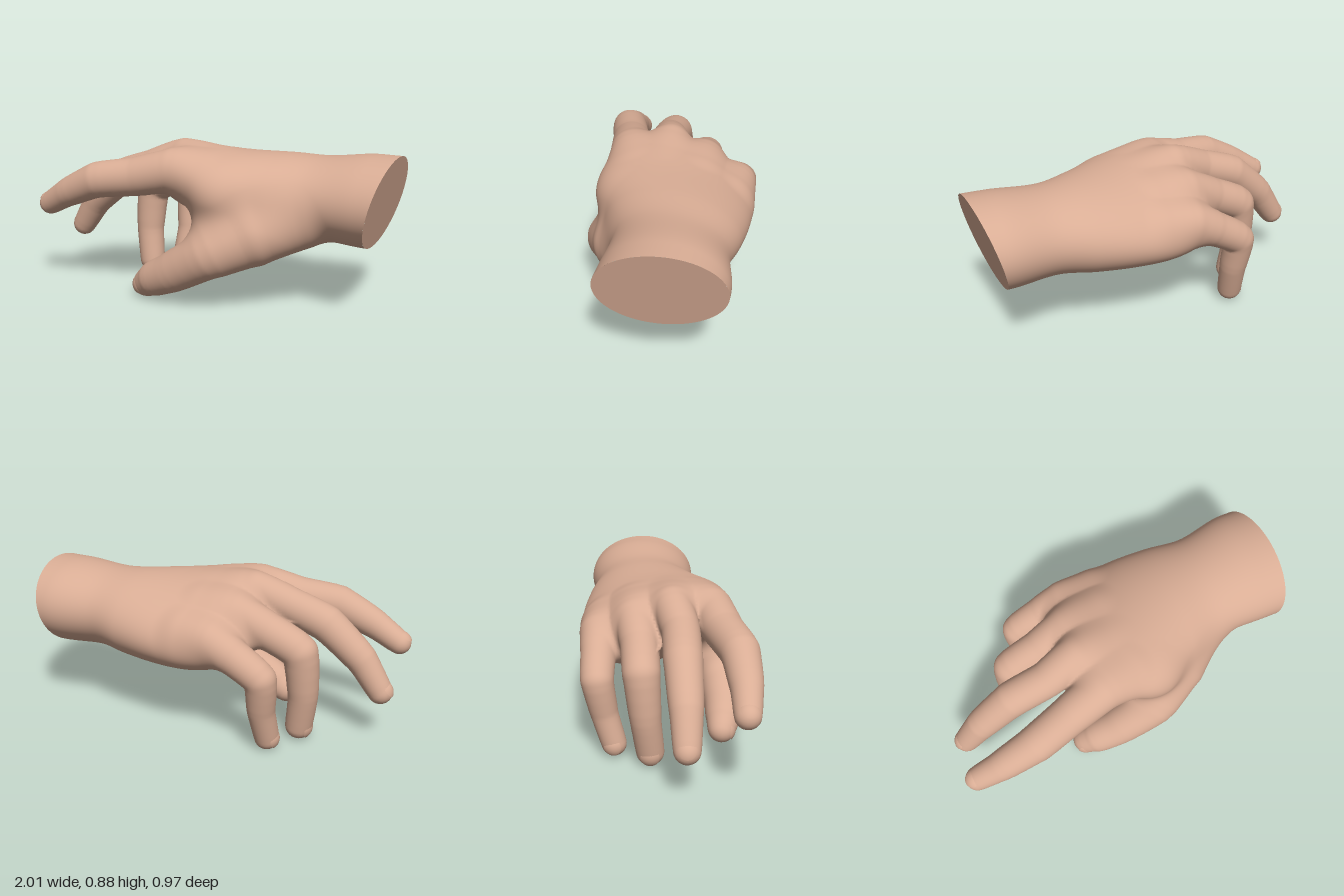
import * as THREE from 'three';

const V = (x, y, z) => new THREE.Vector3(x, y, z);
const CELL = 0.015;

// Digits as chains of tapering joints: [x, y, z, radius]
const DIGITS = {
  indexFinger: [[0.02, 0.69, 0.19, 0.13], [-0.15, 0.73, 0.257, 0.121], [-0.35, 0.688, 0.314, 0.109],
    [-0.57, 0.657, 0.383, 0.102], [-0.78, 0.565, 0.403, 0.083], [-0.931, 0.482, 0.4, 0.066]],
  middleFinger: [[0.05, 0.71, 0.02, 0.1], [-0.205, 0.769, 0.045, 0.112], [-0.4, 0.705, 0.09, 0.1],
    [-0.61, 0.634, 0.1, 0.1], [-0.81, 0.465, 0.115, 0.086], [-0.929, 0.295, 0.12, 0.068]],
  ringFinger: [[0, 0.67, -0.16, 0.13], [-0.19, 0.69, -0.15, 0.12], [-0.37, 0.62, -0.125, 0.102],
    [-0.55, 0.53, -0.11, 0.098], [-0.57, 0.28, -0.09, 0.082], [-0.543, 0.08, -0.068, 0.075]],
  littleFinger: [[0.02, 0.59, -0.33, 0.13], [-0.14, 0.595, -0.345, 0.118], [-0.28, 0.535, -0.35, 0.097],
    [-0.435, 0.44, -0.347, 0.088], [-0.43, 0.25, -0.315, 0.075], [-0.443, 0.073, -0.265, 0.068]],
  thumb: [[0.52, 0.49, 0.05, 0.15], [0.33, 0.425, 0.18, 0.175], [0.14, 0.315, 0.32, 0.132],
    [-0.09, 0.182, 0.34, 0.113], [-0.21, 0.125, 0.335, 0.1], [-0.285, 0.08, 0.322, 0.076]],
};
const THUMB_WEB = [[0.14, 0.6, 0.2, 0.15], [0.11, 0.42, 0.22, 0.12]];

// Back-of-hand directions for the nails
const NAILS = {
  indexFinger: V(-0.46, 0.89, 0.1), middleFinger: V(-0.84, 0.55, 0), ringFinger: V(-1, -0.1, 0),
  littleFinger: V(-1, 0, -0.1), thumb: V(0, 0.15, 1),
};

// Palm and wrist sections: x, centre z, centre y, half width, half height, slope toward the thumb side
const PALM = [
  [-0.33, -0.05, 0.62, 0.16, 0.07, 0.25], [-0.26, -0.05, 0.63, 0.29, 0.145, 0.25],
  [-0.15, -0.055, 0.635, 0.37, 0.2, 0.25], [0, -0.055, 0.62, 0.415, 0.222, 0.2],
  [0.2, -0.06, 0.6, 0.42, 0.238, 0.1], [0.4, -0.105, 0.6, 0.36, 0.235, 0.05],
  [0.6, -0.13, 0.605, 0.305, 0.225, 0], [0.88, -0.155, 0.612, 0.325, 0.245, -0.02],
  [1.12, -0.155, 0.612, 0.325, 0.245, -0.02],
];
const WRIST = PALM[PALM.length - 1];
const wristX = (y, z) => 0.88 + 0.245 * (y - 0.37) + 0.09 * (z + 0.155);

// Ease the bends of a chain with short tapering links
function smoothChain(joints, links) {
  const curve = new THREE.CatmullRomCurve3(joints.map((j) => V(j[0], j[1], j[2])), false, 'catmullrom', 0.22);
  const spans = joints.length - 1;
  return Array.from({ length: spans * links + 1 }, (_, i) => {
    const s = Math.min(Math.floor(i / links), spans - 1);
    const radius = THREE.MathUtils.lerp(joints[s][3], joints[s + 1][3], i / links - s);
    return [...curve.getPoint(i / (spans * links)).toArray(), radius];
  });
}
const digitNames = Object.keys(DIGITS);
const CHAINS = Object.fromEntries(digitNames.map((name) => [name, smoothChain(DIGITS[name], 4)]));

// Smooth interpolation of the palm sections
function palmSection(x) {
  const n = PALM.length - 1;
  let i = 0;
  while (i < n - 1 && x > PALM[i + 1][0]) i++;
  const a = PALM[i], b = PALM[i + 1], h = b[0] - a[0];
  const t = THREE.MathUtils.clamp((x - a[0]) / h, 0, 1);
  const slope = (j, c) => {
    const p = PALM[Math.max(j - 1, 0)], q = PALM[Math.min(j + 1, n)];
    return j === n || j === n - 1 ? 0 : (q[c] - p[c]) / (q[0] - p[0]);
  };
  return a.map((_, c) => {
    const t2 = t * t, t3 = t2 * t;
    return (2 * t3 - 3 * t2 + 1) * a[c] + (3 * t2 - 2 * t3) * b[c]
      + h * ((t3 - 2 * t2 + t) * slope(i, c) + (t3 - t2) * slope(i + 1, c));
  });
}

function palmDistance(x, y, z) {
  const [, cz, cy, hz, hy, tilt] = palmSection(x);
  const dz = z - cz, dy = y - cy - tilt * dz;
  const k0 = Math.hypot(dz / hz, dy / hy), k1 = Math.hypot(dz / hz ** 2, dy / hy ** 2);
  const d = k1 < 1e-6 ? -Math.min(hy, hz) : k0 * (k0 - 1) / k1;
  return d + Math.max(0, PALM[0][0] - x);
}

function smoothMin(a, b, k) {
  const h = Math.max(k - Math.abs(a - b), 0) / k;
  return Math.min(a, b) - h * h * k * 0.25;
}

// Distance to a chain of round cones
function chainDistance(chain, x, y, z) {
  let d = 10;
  for (let i = 0; i < chain.length - 1; i++) {
    const a = chain[i], b = chain[i + 1];
    const ux = b[0] - a[0], uy = b[1] - a[1], uz = b[2] - a[2];
    const px = x - a[0], py = y - a[1], pz = z - a[2];
    const len2 = ux * ux + uy * uy + uz * uz, len = Math.sqrt(len2);
    const along = (px * ux + py * uy + pz * uz) / len;
    const across = Math.sqrt(Math.max(px * px + py * py + pz * pz - along * along, 0));
    const s = THREE.MathUtils.clamp((b[3] - a[3]) / len, -0.9, 0.9);
    const t = Math.min(1, Math.max(0, (along + across * s / Math.sqrt(1 - s * s)) / len));
    const off = along - t * len;
    d = Math.min(d, Math.sqrt(across * across + off * off) - a[3] - t * (b[3] - a[3]));
  }
  return d;
}

function baseDistance(x, y, z) {
  return smoothMin(palmDistance(x, y, z), chainDistance(THUMB_WEB, x, y, z), 0.1);
}

// Each digit blends into the palm but not into its neighbours
function handDistance(x, y, z) {
  const base = baseDistance(x, y, z);
  let d = base;
  for (const name of digitNames) {
    const digit = chainDistance(CHAINS[name], x, y, z);
    d = Math.min(d, smoothMin(base, digit, name === 'thumb' ? 0.1 : 0.06));
  }
  return d;
}

function nearestPart(x, y, z) {
  let best = 'palmAndWrist', d = baseDistance(x, y, z);
  for (const name of digitNames) {
    const e = chainDistance(CHAINS[name], x, y, z);
    if (e < d) { d = e; best = name; }
  }
  return best;
}

function normalAt(p, e = 0.012) {
  return V(
    handDistance(p.x + e, p.y, p.z) - handDistance(p.x - e, p.y, p.z),
    handDistance(p.x, p.y + e, p.z) - handDistance(p.x, p.y - e, p.z),
    handDistance(p.x, p.y, p.z + e) - handDistance(p.x, p.y, p.z - e)).normalize();
}

// Wrap one continuous skin around the form, then sort its faces into parts
function buildSkin() {
  const lo = [-1.05, -0.05, -0.56], hi = [1.07, 0.96, 0.56];
  const n = lo.map((l, i) => Math.ceil((hi[i] - l) / CELL) + 1);
  const stride = [1, n[0], n[0] * n[1]];
  const field = new Float32Array(n[0] * n[1] * n[2]);
  for (let k = 0, id = 0; k < n[2]; k++) for (let j = 0; j < n[1]; j++) for (let i = 0; i < n[0]; i++)
    field[id++] = handDistance(lo[0] + i * CELL, lo[1] + j * CELL, lo[2] + k * CELL);

  const cells = new Map();
  const parts = {};
  const eachCell = (f) => {
    for (let k = 1; k < n[2] - 1; k++) for (let j = 1; j < n[1] - 1; j++) for (let i = 0; i < n[0] - 1; i++)
      f([i, j, k], i + j * stride[1] + k * stride[2]);
  };

  // One skin point per cell crossed by the surface
  eachCell((c, id) => {
    const sum = V(0, 0, 0);
    let count = 0;
    for (let m = 0; m < 8; m++) for (let a = 0; a < 3; a++) {
      if (m >> a & 1) continue;
      const o = [m & 1, m >> 1 & 1, m >> 2 & 1];
      const g = id + o[0] + o[1] * stride[1] + o[2] * stride[2];
      const f0 = field[g], f1 = field[g + stride[a]];
      if (f0 < 0 === f1 < 0) continue;
      o[a] += f0 / (f0 - f1);
      sum.add(V(...o));
      count++;
    }
    if (!count) return;
    const p = sum.divideScalar(count).add(V(...c)).multiplyScalar(CELL).add(V(...lo));
    const d = THREE.MathUtils.clamp(handDistance(p.x, p.y, p.z), -CELL / 2, CELL / 2);
    p.addScaledVector(normalAt(p), -d);
    const cut = p.x > wristX(p.y, p.z);
    const normal = normalAt(p);
    if (cut) p.x = wristX(p.y, p.z);
    cells.set(id, { p, normal, cut });
  });

  // Faces across every crossed grid edge
  eachCell((c, id) => {
    for (let a = 0; a < 3; a++) {
      const f0 = field[id], f1 = field[id + stride[a]];
      if (f0 < 0 === f1 < 0) continue;
      const b = stride[(a + 1) % 3], d = stride[(a + 2) % 3];
      const quad = [id, id - b, id - b - d, id - d].map((q) => cells.get(q));
      if (quad.some((q) => !q) || quad.every((q) => q.cut)) continue;
      if (f0 >= 0) quad.reverse();
      const name = nearestPart(quad[0].p.x, quad[0].p.y, quad[0].p.z);
      const part = parts[name] ??= { ids: new Map(), pos: [], nor: [], index: [] };
      const v = quad.map((q) => {
        if (!part.ids.has(q)) {
          part.ids.set(q, part.ids.size);
          part.pos.push(...q.p.toArray());
          part.nor.push(...q.normal.toArray());
        }
        return part.ids.get(q);
      });
      part.index.push(v[0], v[1], v[2], v[0], v[2], v[3]);
    }
  });
  return parts;
}

export function createModel() {
  const group = new THREE.Group();
  group.name = 'hand';
  const skin = new THREE.MeshStandardMaterial({ color: 0xd9ad95 });
  skin.name = 'skin';
  const add = (name, geometry) => {
    const mesh = new THREE.Mesh(geometry, skin);
    mesh.name = name;
    group.add(mesh);
  };

  for (const [name, part] of Object.entries(buildSkin())) {
    const g = new THREE.BufferGeometry();
    g.setAttribute('position', new THREE.Float32BufferAttribute(part.pos, 3));
    g.setAttribute('normal', new THREE.Float32BufferAttribute(part.nor, 3));
    add(name, g.setIndex(part.index));
  }

  // Flat slanted end of the wrist
  const cap = new THREE.CircleGeometry(1, 72).rotateY(Math.PI / 2);
  const pos = cap.attributes.position;
  for (let i = 0; i < pos.count; i++) {
    const dz = pos.getZ(i) * WRIST[3], z = WRIST[1] + dz;
    const y = WRIST[2] + pos.getY(i) * WRIST[4] + WRIST[5] * dz;
    pos.setXYZ(i, wristX(y, z), y, z);
  }
  cap.computeVertexNormals();
  add('wristEnd', cap);

  // Nails: thin curved plates on the digit tips
  for (const [name, back] of Object.entries(NAILS)) {
    const [prev, tip] = CHAINS[name].slice(-2), r = tip[3];
    const along = V(tip[0] - prev[0], tip[1] - prev[1], tip[2] - prev[2]).normalize();
    const up = back.clone().addScaledVector(along, -back.dot(along)).normalize();
    const side = along.clone().cross(up);
    const nail = new THREE.SphereGeometry(1, 20, 6, 0, Math.PI * 2, 0, 0.75);
    nail.scale(r * 1.1, r + 0.004, r);
    nail.applyMatrix4(new THREE.Matrix4().makeBasis(along, up, side).setPosition(tip[0], tip[1], tip[2]));
    add(name + 'Nail', nail);
  }
  return group;
}
